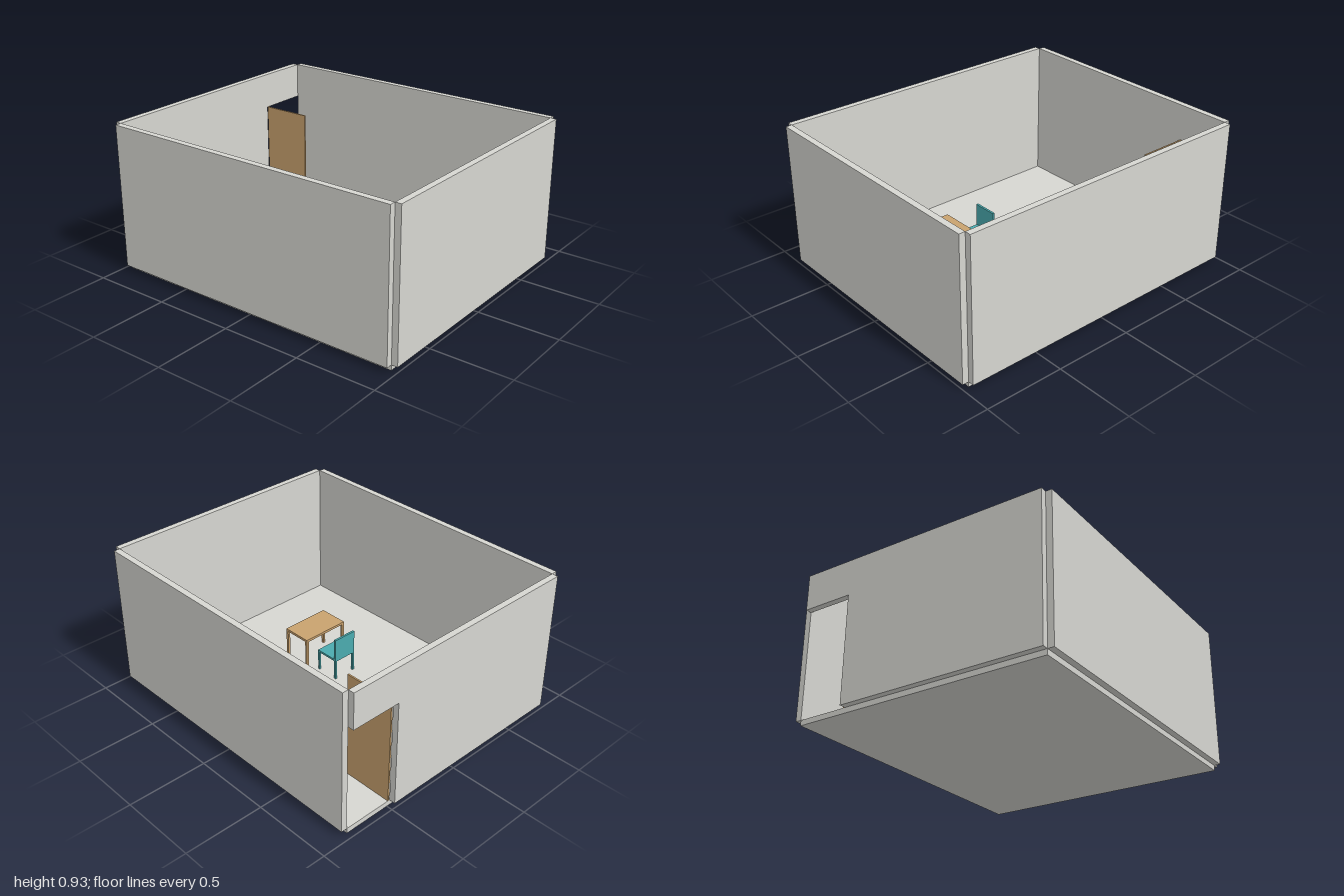
import * as THREE from 'three';

const paint = {
  concrete: new THREE.MeshStandardMaterial({ name: 'pale concrete', color: 0xd6d6d1 }),
  wood: new THREE.MeshStandardMaterial({ name: 'light wood', color: 0xc9a26e }),
  teal: new THREE.MeshStandardMaterial({ name: 'chair teal', color: 0x4babaf }),
};

// Box given by its lowest and highest corners
function block(parent, name, material, [x0, y0, z0], [x1, y1, z1]) {
  const mesh = new THREE.Mesh(new THREE.BoxGeometry(x1 - x0, y1 - y0, z1 - z0), material);
  mesh.position.set((x0 + x1) / 2, (y0 + y1) / 2, (z0 + z1) / 2);
  mesh.name = name;
  parent.add(mesh);
}

// Four square legs in the corners of a rectangle
function legs(parent, name, material, x0, x1, z0, z1, y0, y1, t) {
  for (const x of [x0, x1 - t])
    for (const z of [z0, z1 - t]) block(parent, name, material, [x, y0, z], [x + t, y1, z + t]);
}

export function createModel() {
  const room = new THREE.Group();
  room.name = 'room';
  const X = 0.9615, Z = 0.801, T = 0.0385; // inner half width, inner half depth, wall thickness
  const F = 0.033, H = 0.93; // floor top, wall top
  const doorTop = 0.705, jamb = -0.481;

  block(room, 'floor', paint.concrete, [-X, 0, -Z], [X, F, Z]);

  // Walls stand just outside the floor, leaving notched corners
  block(room, 'frontWall', paint.concrete, [-X, F, Z], [X, H, Z + T]);
  block(room, 'backWall', paint.concrete, [-X, F, -Z - T], [X, H, -Z]);
  block(room, 'leftWall', paint.concrete, [X, F, -Z], [X + T, H, Z]);

  // Right wall with a doorway reaching the back corner, extruded along x
  const outline = new THREE.Shape([
    [Z, F], [Z, H], [-Z, H], [-Z, doorTop], [jamb, doorTop], [jamb, F],
  ].map(([z, y]) => new THREE.Vector2(-z, y)));
  const wallGeometry = new THREE.ExtrudeGeometry(outline, { depth: T, bevelEnabled: false });
  wallGeometry.rotateY(Math.PI / 2);
  const rightWall = new THREE.Mesh(wallGeometry, paint.concrete);
  rightWall.position.x = -X - T;
  rightWall.name = 'rightWall';
  room.add(rightWall);

  // Door leaf swung open into the room
  block(room, 'door', paint.wood, [-X, F, -0.494], [-0.643, doorTop, -0.484]);

  // Desk
  const desk = new THREE.Group();
  desk.name = 'desk';
  block(desk, 'deskTop', paint.wood, [0.223, 0.257, 0], [0.415, 0.273, 0.32]);
  legs(desk, 'deskLeg', paint.wood, 0.223, 0.415, 0, 0.32, F, 0.257, 0.016);
  room.add(desk);

  // Chair facing the desk
  const chair = new THREE.Group();
  chair.name = 'chair';
  block(chair, 'chairSeat', paint.teal, [0.046, 0.163, 0.079], [0.206, 0.177, 0.239]);
  block(chair, 'chairBack', paint.teal, [0.046, 0.177, 0.079], [0.06, 0.32, 0.239]);
  legs(chair, 'chairLeg', paint.teal, 0.046, 0.206, 0.079, 0.239, F, 0.163, 0.013);
  room.add(chair);

  return room;
}
